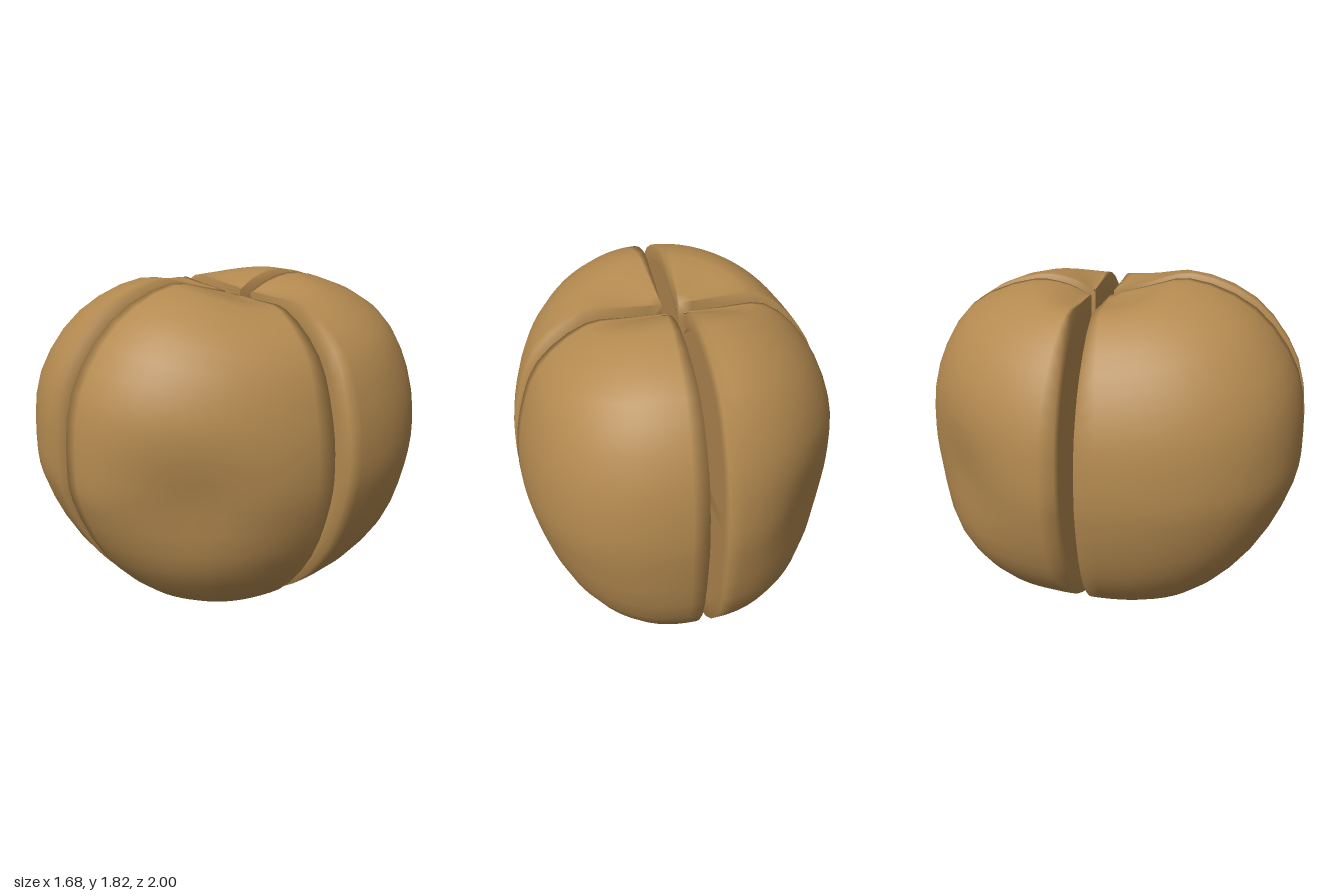
import * as THREE from 'three';
import { mergeVertices } from 'three/addons/utils/BufferGeometryUtils.js';

const ROWS = 30, COLS = 16, MID_Y = 0.95;

// Edge profiles from top to bottom: [distance from the core, height]
const FRONT_EDGE = [[0, 1.71], [0.2, 1.77], [0.41, 1.82], [0.75, 1.69], [0.98, 1.38], [1.03, 1.0],
  [1.01, 0.82], [0.85, 0.47], [0.58, 0.18], [0.23, 0.02], [0, 0]];
const BACK_EDGE = [[0, 1.7], [0.11, 1.755], [0.3, 1.775], [0.64, 1.63], [0.82, 1.33], [0.87, 1.0],
  [0.855, 0.78], [0.77, 0.4], [0.54, 0.14], [0.2, 0.02], [0, 0]];
const LEFT_EDGE = [[0, 1.71], [0.2, 1.715], [0.4, 1.71], [0.65, 1.53], [0.76, 1.25], [0.79, 1.0],
  [0.77, 0.8], [0.65, 0.46], [0.4, 0.14], [0.17, 0.02], [0, 0]];
const RIGHT_EDGE = [[0, 1.71], [0.2, 1.715], [0.42, 1.71], [0.65, 1.5], [0.77, 1.24], [0.8, 1.0],
  [0.79, 0.8], [0.69, 0.45], [0.52, 0.22], [0.17, 0.03], [0, 0]];
const BACK_RIGHT_EDGE = RIGHT_EDGE.map(([r, y]) => [r * 0.975, y]);

const smooth = (profile) =>
  new THREE.CatmullRomCurve3(profile.map(([r, y]) => new THREE.Vector3(r, y, 0))).getPoints(ROWS);

// One quarter: two flat cut walls and a bulging outer skin, as one closed grid
function quarterGeometry({ sx, sz, x0, z0, side, end, power, dent }) {
  const a = smooth(side), b = smooth(end);
  const positions = [], index = [];
  const width = COLS + 5;
  const lift = (y, k) => MID_Y + (y - MID_Y) * k;
  for (let i = 0; i <= ROWS; i++) {
    const A = a[i], B = b[i];
    const row = [[0, lift(A.y, 0.8), 0], [A.x * 0.9, lift(A.y, 0.9), 0]];
    for (let j = 0; j <= COLS; j++) {
      const t = (j / COLS) * Math.PI / 2;
      const c = j === COLS ? 0 : Math.cos(t), s = Math.sin(t);
      const y = A.y + (B.y - A.y) * s * s;
      // Rounder or flatter cross-section, with a soft hollow below the middle
      const g = Math.pow(Math.pow(c, power) + Math.pow(s, power), -1 / power);
      const hollow = 1 - dent * Math.pow(Math.sin(2 * t), 3) * Math.exp(-Math.pow((y - 0.85) / 0.3, 2));
      row.push([A.x * c * g * hollow, y, B.x * s * g * hollow]);
    }
    row.push([0, lift(B.y, 0.9), B.x * 0.9], [0, lift(B.y, 0.8), 0]);
    for (const [x, y, z] of row) positions.push(x0 + sx * x, y, z0 + sz * z);
  }
  for (let i = 0; i < ROWS; i++) {
    for (let j = 0; j < width - 1; j++) {
      const p = i * width + j, q = p + 1, r = p + width, u = r + 1;
      if (sx * sz > 0) index.push(p, q, r, q, u, r);
      else index.push(p, r, q, q, r, u);
    }
  }
  const geometry = new THREE.BufferGeometry();
  geometry.setAttribute('position', new THREE.Float32BufferAttribute(positions, 3));
  geometry.setIndex(index);
  const merged = mergeVertices(geometry, 1e-4);
  merged.computeVertexNormals();
  return merged;
}

export function createModel() {
  const model = new THREE.Group();
  model.name = 'quarteredShell';
  const shell = new THREE.MeshStandardMaterial({ color: 0xb48a50 });
  shell.name = 'shell brown';

  const quarters = [
    { name: 'frontLeftQuarter', sx: 1, sz: 1, x0: 0.05, z0: -0.03, side: LEFT_EDGE, end: FRONT_EDGE, power: 1.96, dent: 0.1 },
    { name: 'frontRightQuarter', sx: -1, sz: 1, x0: -0.04, z0: -0.03, side: RIGHT_EDGE, end: FRONT_EDGE, power: 2.4, dent: 0 },
    { name: 'backLeftQuarter', sx: 1, sz: -1, x0: 0.05, z0: -0.13, side: LEFT_EDGE, end: BACK_EDGE, power: 2.45, dent: 0 },
    { name: 'backRightQuarter', sx: -1, sz: -1, x0: -0.04, z0: -0.13, side: BACK_RIGHT_EDGE, end: BACK_EDGE, power: 1.9, dent: 0.08 },
  ];
  for (const q of quarters) {
    const mesh = new THREE.Mesh(quarterGeometry(q), shell);
    mesh.name = q.name;
    model.add(mesh);
  }
  return model;
}
